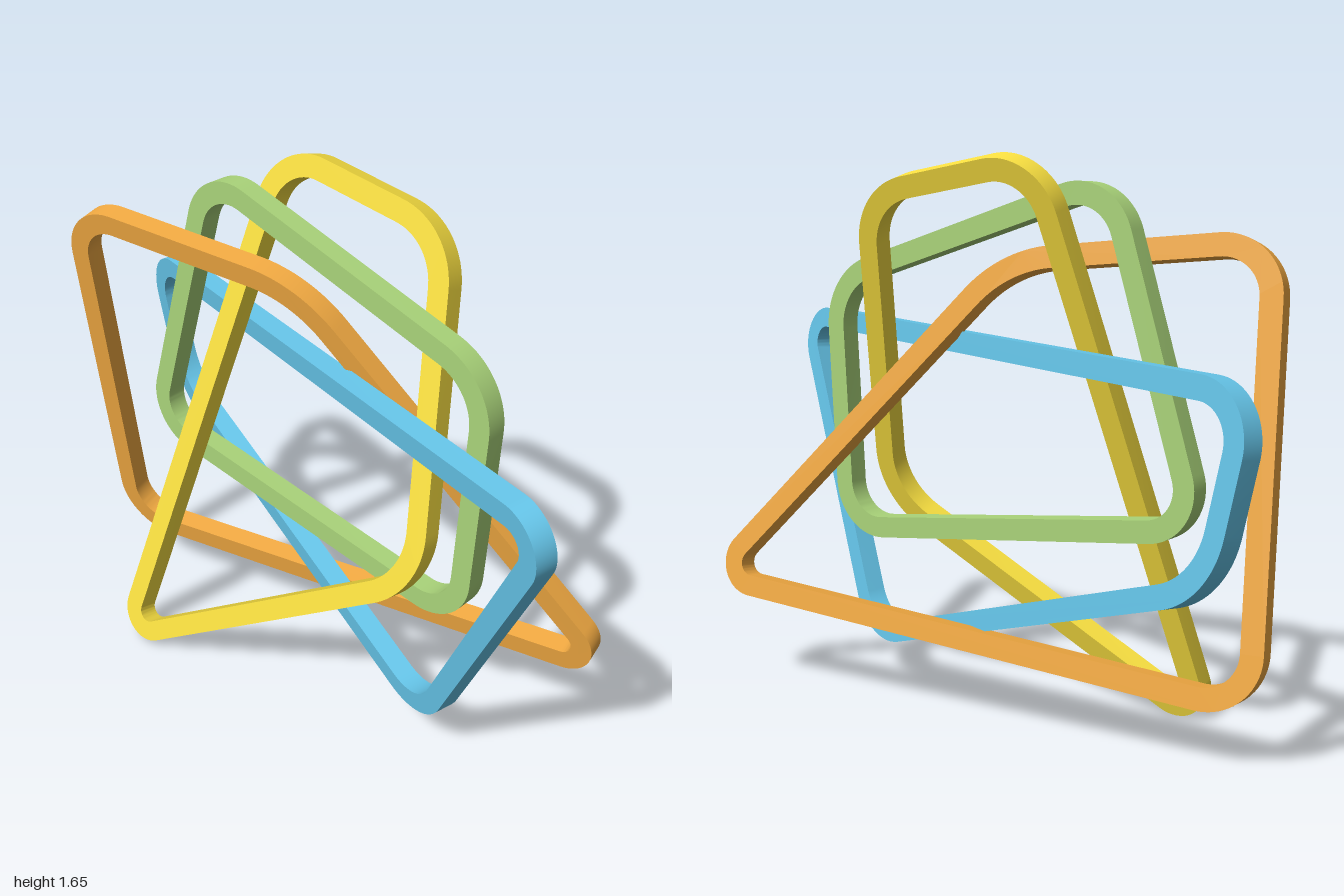
import * as THREE from 'three';
import { toCreasedNormals } from 'three/addons/utils/BufferGeometryUtils.js';

const WIDTH = 0.065;   // bar width within the ring's plane
const DEPTH = 0.064;   // bar depth across the plane
const TRIM = 0.15;     // length cut from each side at a rounded corner

// Traces the rounded outline of a counterclockwise polygon, moved outward by offset
function roundedOutline(path, corners, offset) {
  const count = corners.length;
  corners.forEach((corner, i) => {
    const incoming = corner.clone().sub(corners[(i + count - 1) % count]).normalize();
    const outgoing = corners[(i + 1) % count].clone().sub(corner).normalize();
    const turn = Math.acos(incoming.dot(outgoing));
    const radius = TRIM / Math.tan(turn / 2);
    // arc centre lies on the inner side (left of travel) of the incoming bar
    const cx = corner.x - incoming.x * TRIM - incoming.y * radius;
    const cy = corner.y - incoming.y * TRIM + incoming.x * radius;
    const start = Math.atan2(-incoming.x, incoming.y);
    path.absarc(cx, cy, radius + offset, start, start + turn, false);
  });
  path.closePath();
  return path;
}

// Ring lying in the tilted plane z = a + b*x + c*y; corners give the bar's centre line
function makeRing({ name, color, plane: [a, b, c], corners }) {
  const normal = new THREE.Vector3(-b, -c, 1).normalize();
  const u = new THREE.Vector3(1, 0, b).normalize();
  const v = normal.clone().cross(u);
  const origin = new THREE.Vector3(0, 0, a);
  const flat = corners.map(([x, y]) => {
    const p = new THREE.Vector3(x, y, b * x + c * y);
    return new THREE.Vector2(p.dot(u), p.dot(v));
  });

  const shape = roundedOutline(new THREE.Shape(), flat, WIDTH / 2);
  shape.holes.push(roundedOutline(new THREE.Path(), flat, -WIDTH / 2));
  const geometry = new THREE.ExtrudeGeometry(shape, { depth: DEPTH, bevelEnabled: false, curveSegments: 10 });
  geometry.translate(0, 0, -DEPTH / 2);
  geometry.applyMatrix4(new THREE.Matrix4().makeBasis(u, v, normal).setPosition(origin));

  const mesh = new THREE.Mesh(
    toCreasedNormals(geometry, Math.PI / 5),
    new THREE.MeshStandardMaterial({ color })
  );
  mesh.name = name;
  return mesh;
}

// Four interlocking rings, corners listed counterclockwise from the lower left
const RINGS = [
  {
    name: 'greenRing', color: 0xaad47a, plane: [-0.012, 0, 0],
    corners: [[-0.706, 0.647], [0.568, 0.49], [0.61, 1.282], [-0.415, 1.579]],
  },
  {
    name: 'yellowRing', color: 0xf7de40, plane: [0.27, -0.06, -0.286],
    corners: [[-0.57, -0.03], [0.465, 0.61], [0.31, 1.548], [-0.275, 1.632]],
  },
  {
    name: 'blueRing', color: 0x66c6ea, plane: [-0.107, 0.27, 0.09],
    corners: [[-0.89, 0.575], [0.51, 0.12], [1.016, 1.144], [-0.985, 1.059]],
  },
  {
    name: 'orangeRing', color: 0xf2aa42, plane: [-0.19, -0.175, 0.16],
    corners: [[-0.87, 0.181], [0.909, 0.326], [-0.03, 1.351], [-0.81, 1.412]],
  },
];

export function createModel() {
  const group = new THREE.Group();
  group.name = 'interlockingRings';
  RINGS.forEach((ring) => group.add(makeRing(ring)));
  return group;
}
